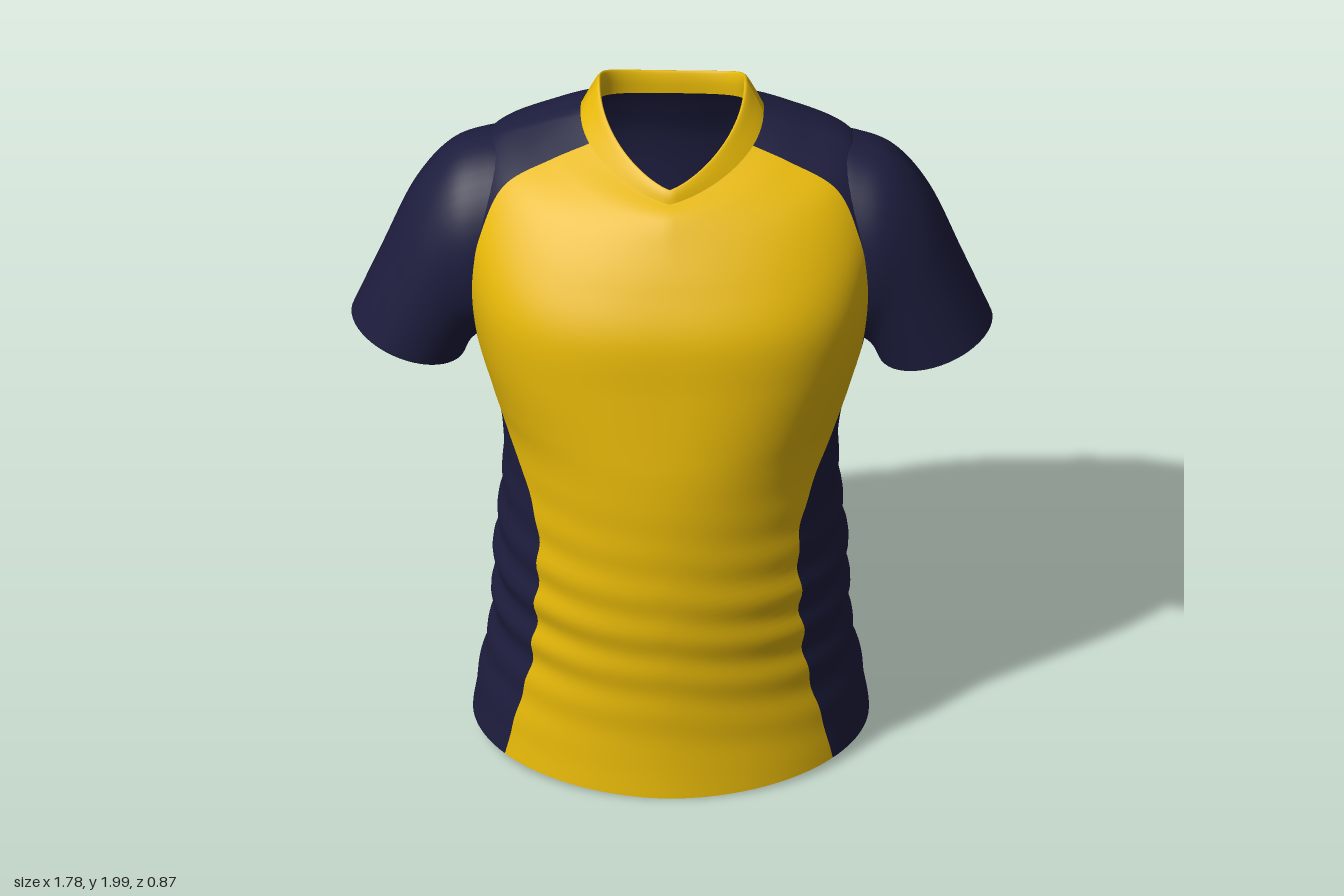
import * as THREE from 'three';

// Torso rings, hem to neck:
// [side y, half width, side z, front y, front z, back y, back z, panel seam angle, V amount]
const TORSO = [
  [0.06, 0.55, 0, 0.01, 0.41, 0.08, -0.40, 0.58, 0],
  [0.20, 0.53, 0, 0.16, 0.40, 0.20, -0.38, 0.63, 0],
  [0.34, 0.50, 0, 0.32, 0.405, 0.34, -0.365, 0.67, 0],
  [0.47, 0.49, 0, 0.45, 0.415, 0.47, -0.32, 0.69, 0],
  [0.62, 0.485, 0, 0.61, 0.43, 0.62, -0.345, 0.70, 0],
  [0.80, 0.47, 0, 0.80, 0.435, 0.80, -0.355, 0.67, 0],
  [0.95, 0.465, 0, 0.95, 0.435, 0.95, -0.37, 0.50, 0],
  [1.05, 0.475, -0.01, 1.05, 0.43, 1.05, -0.38, 0.28, 0],
  [1.14, 0.50, -0.02, 1.14, 0.42, 1.14, -0.395, 0.06, 0],
  [1.30, 0.545, -0.05, 1.30, 0.40, 1.30, -0.422, 0.20, 0],
  [1.50, 0.575, -0.08, 1.47, 0.378, 1.50, -0.443, 0.32, 0],
  [1.68, 0.575, -0.11, 1.60, 0.315, 1.66, -0.432, 0.43, 0],
  [1.82, 0.51, -0.13, 1.70, 0.25, 1.78, -0.388, 0.44, 0.05],
  [1.88, 0.37, -0.14, 1.765, 0.20, 1.87, -0.34, 0.46, 0.2],
  [1.92, 0.255, -0.14, 1.79, 0.155, 1.91, -0.30, 0.50, 0.4],
];
// Collar rings, from the outer seam over the top to the inner edge
const COLLAR = [
  [1.905, 0.26, -0.14, 1.782, 0.158, 1.895, -0.306, 0, 0.4],
  [1.955, 0.232, -0.16, 1.81, 0.148, 1.938, -0.30, 0, 0.4],
  [2.00, 0.205, -0.17, 1.825, 0.135, 1.957, -0.288, 0, 0.4],
  [1.97, 0.198, -0.165, 1.812, 0.13, 1.93, -0.279, 0, 0.4],
  [1.92, 0.21, -0.15, 1.79, 0.13, 1.89, -0.277, 0, 0.4],
];
// Sleeve rings: [top x, top y, bottom x, bottom y, centre z, half depth]
const SLEEVE = [
  [0.40, 1.83, 0.45, 1.24, -0.158, 0.25],
  [0.51, 1.825, 0.48, 1.23, -0.148, 0.245],
  [0.62, 1.785, 0.51, 1.23, -0.137, 0.235],
  [0.72, 1.665, 0.535, 1.22, -0.13, 0.213],
  [0.81, 1.46, 0.555, 1.20, -0.125, 0.197],
  [0.892, 1.265, 0.572, 1.16, -0.125, 0.187],
];

// Smooth interpolation of a ring table at v in 0..1
function sample(table, v) {
  const f = v * (table.length - 1);
  const i = Math.min(Math.floor(f), table.length - 2);
  const t = f - i;
  const row = (k) => table[Math.max(0, Math.min(table.length - 1, k))];
  return table[0].map((_, c) => {
    const [p, a, b, n] = [row(i - 1)[c], row(i)[c], row(i + 1)[c], row(i + 2)[c]];
    return a + 0.5 * t * (b - p + t * (2 * p - 5 * a + 4 * b - n + t * (3 * (a - b) + n - p)));
  });
}

// Point on a body ring at angle t (0 = left side, PI/2 = front); boxier at the chest
function ringPoint(r, t) {
  const [ys, w, zs, yf, zf, yb, zb, , vee] = r;
  const c = Math.cos(t), s = Math.sin(t);
  const boxy = Math.exp(-(((ys - 1.4) / 0.35) ** 2));
  const e = s >= 0 ? 1.05 - 0.25 * boxy - 0.4 * vee : 0.8 - 0.15 * boxy - 0.2 * vee;
  const x = w * Math.sign(c) * Math.abs(c) ** e;
  const k = Math.abs(s) ** e;
  if (s < 0) return [x, ys + (yb - ys) * k * k, zs + (zb - zs) * k];
  const m = k * (1 - vee) + (1 - Math.abs(c)) * vee;
  return [x, ys + (yf - ys) * m, zs + (zf - zs) * m];
}

function torsoPoint(t, v) {
  const p = ringPoint(sample(TORSO, v), t);
  const [x, y] = p;
  // Slanting cloth folds at the waist, strongest at the sides
  const waist = Math.exp(-(((y - 0.52) / 0.28) ** 2));
  const fold = Math.sin(y * 46 + 2.2 * Math.abs(Math.cos(t)) + Math.sin(t) * 2 + x * 5);
  const amount = 0.01 * waist * fold;
  p[0] += amount * Math.cos(t);
  p[2] += amount * 0.3 * Math.sin(t);
  // Shallow groove down the spine
  const chest = Math.exp(-(((y - 1.4) / 0.4) ** 2));
  if (Math.sin(t) < 0) p[2] += 0.035 * chest * Math.exp(-((x / 0.13) ** 2));
  return p;
}

// Grid surface from a point rule; flip turns the faces over
function surface(point, nu, nv, flip = false) {
  const pos = [], index = [];
  for (let j = 0; j <= nv; j++)
    for (let i = 0; i <= nu; i++) pos.push(...point(i / nu, j / nv));
  for (let j = 0; j < nv; j++)
    for (let i = 0; i < nu; i++) {
      const a = j * (nu + 1) + i, b = a + 1, c = a + nu + 1, d = c + 1;
      if (flip) index.push(a, b, c, b, d, c);
      else index.push(a, c, b, b, c, d);
    }
  const g = new THREE.BufferGeometry();
  g.setAttribute('position', new THREE.Float32BufferAttribute(pos, 3));
  g.setIndex(index);
  g.computeVertexNormals();
  return g;
}

export function createModel() {
  const yellow = new THREE.MeshStandardMaterial({ color: 0xe6b808, side: THREE.DoubleSide });
  yellow.name = 'yellow cloth';
  const navy = new THREE.MeshStandardMaterial({ color: 0x1d1d3e, side: THREE.DoubleSide });
  navy.name = 'navy cloth';

  const group = new THREE.Group();
  group.name = 'shirt';
  const add = (name, geometry, material) => {
    const mesh = new THREE.Mesh(geometry, material);
    mesh.name = name;
    group.add(mesh);
  };

  // Panels share the seam angle stored in the torso rings
  const seam = (v) => sample(TORSO, v)[7];
  const front = (u, v) => torsoPoint(seam(v) + u * (Math.PI - 2 * seam(v)), v);
  const back = (u, v) => torsoPoint(Math.PI - seam(v) + u * (Math.PI + 2 * seam(v)), v);
  add('frontPanel', surface(front, 64, 130), yellow);
  add('backPanel', surface(back, 90, 130), navy);

  // Navy lining set inside the front panel, above the hem
  const hem = 0.065;
  const lining = (u, v) => {
    const [x, y, z] = front(u, hem + v * (1 - hem));
    return [x * 0.96, y - 0.006, z - 0.02];
  };
  add('frontLining', surface(lining, 64, 120, true), navy);

  // Navy panel closing the inside just above the hem
  const closing = (u, v) => {
    const [x, y, z] = torsoPoint(u * Math.PI * 2, hem);
    return [x * v * 0.995, 0.17 + (y - 0.17) * v, z * v * 0.995];
  };
  add('innerPanel', surface(closing, 72, 8, true), navy);

  // V-neck collar band
  add('collar', surface((u, v) => ringPoint(sample(COLLAR, v), u * Math.PI * 2), 96, 20), yellow);

  // Sleeves, mirrored
  for (const side of [1, -1]) {
    const point = (u, v) => {
      const [tx, ty, bx, by, z, depth] = sample(SLEEVE, v);
      const c = Math.cos(u * Math.PI * 2), s = Math.sin(u * Math.PI * 2);
      return [
        side * ((tx + bx) / 2 + (c * (tx - bx)) / 2),
        (ty + by) / 2 + (c * (ty - by)) / 2,
        z + s * depth,
      ];
    };
    add(side > 0 ? 'leftSleeve' : 'rightSleeve', surface(point, 48, 40, side > 0), navy);
  }
  return group;
}
